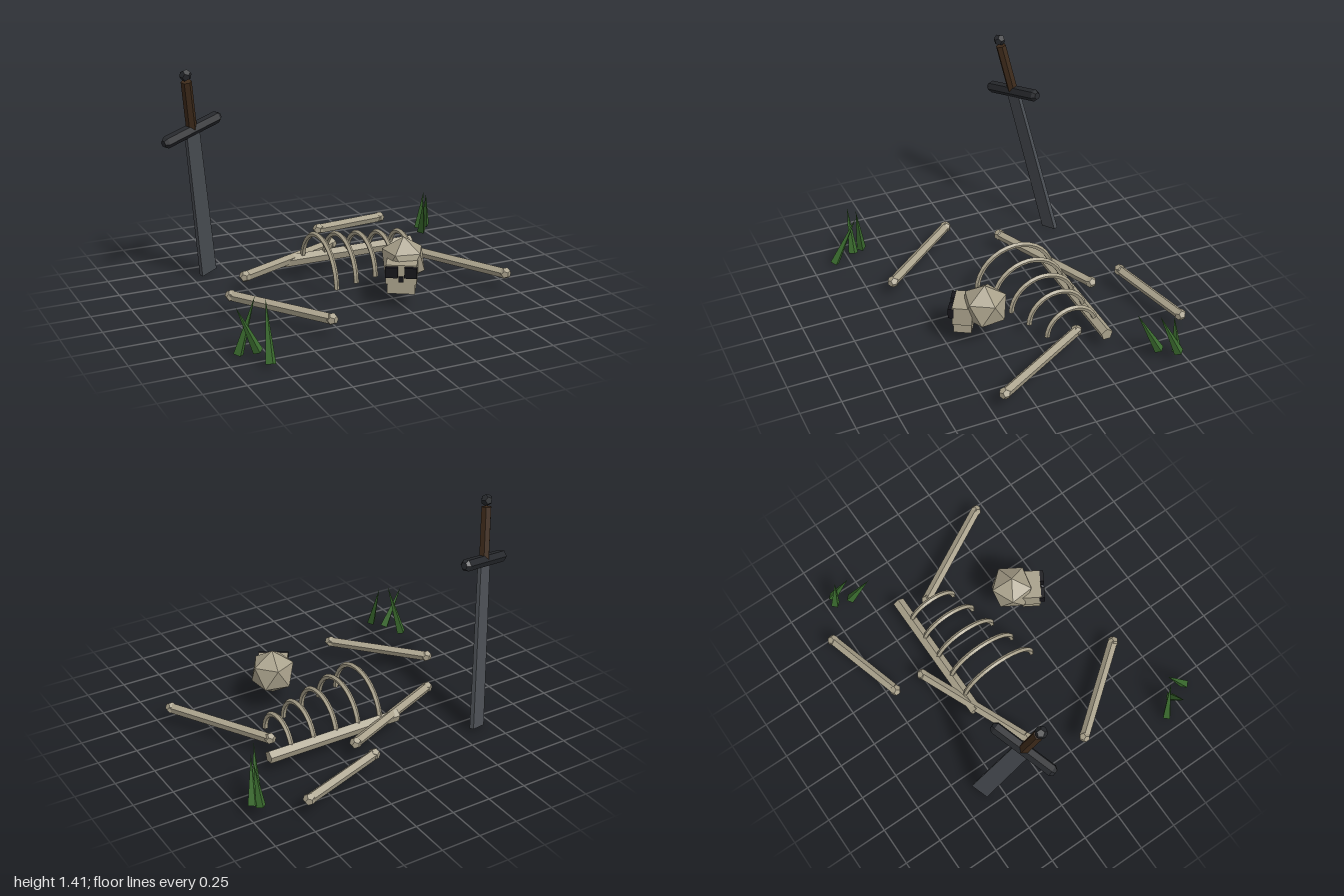
import * as THREE from 'three';

const mat = (color) => new THREE.MeshStandardMaterial({ color, flatShading: true });
const V = (x, y, z) => new THREE.Vector3(x, y, z);
const UP = V(0, 1, 0);

export function createModel() {
  const model = new THREE.Group();
  const bone = mat(0xa8a08a);
  const dark = mat(0x16151a);
  const steel = mat(0x4a4e54);
  const iron = mat(0x26282c);
  const leather = mat(0x3d2a1a);
  const green = mat(0x3a6b2e);

  const add = (parent, name, geometry, material, x = 0, y = 0, z = 0) => {
    const mesh = new THREE.Mesh(geometry, material);
    mesh.name = name;
    mesh.position.set(x, y, z);
    parent.add(mesh);
    return mesh;
  };
  const group = (name, parent = model) => {
    const g = new THREE.Group();
    g.name = name;
    parent.add(g);
    return g;
  };
  // Tapered rod running from a to b
  const rod = (parent, name, a, b, rStart, rEnd, sides, material) => {
    const d = b.clone().sub(a);
    const mesh = add(parent, name, new THREE.CylinderGeometry(rEnd, rStart, d.length(), sides), material);
    mesh.position.copy(a).addScaledVector(d, 0.5);
    mesh.quaternion.setFromUnitVectors(UP, d.normalize());
    return mesh;
  };

  // Loose limb bones with knobbed ends
  [
    [V(0.18, 0.185, -0.71), V(0.70, 0.147, -0.853)],
    [V(-0.54, 0.15, -0.2), V(0.18, 0.15, -0.508)],
    [V(0.588, 0.15, -0.203), V(0.934, 0.147, 0.42)],
    [V(-0.745, 0.17, 0.10), V(-0.333, 0.15, 0.622)],
  ].forEach(([a, b]) => {
    const limb = group('limbBone');
    rod(limb, 'shaft', a, b, 0.032, 0.032, 5, bone);
    for (const p of [a, b]) add(limb, 'knob', new THREE.DodecahedronGeometry(0.037), bone, p.x, p.y, p.z);
  });

  // Spine with five half-ring ribs that shrink along it
  const ribcage = group('ribcage');
  const spineGeo = new THREE.CylinderGeometry(0.039, 0.039, 0.895, 5);
  spineGeo.rotateY(-Math.PI / 2).rotateZ(Math.PI / 2);
  // a ridge of the five-sided spine points up
  spineGeo.computeBoundingBox();
  if (spineGeo.boundingBox.max.y < 0.0385) spineGeo.rotateX(Math.PI);
  add(ribcage, 'spine', spineGeo, bone, 0.237, 0.139, -0.36);
  for (let i = 0; i < 5; i++) {
    const r = 0.257 - 0.024 * i;
    const rib = add(ribcage, 'rib', new THREE.TorusGeometry(r, 0.017, 5, 16, Math.PI), bone,
      -0.087 + 0.154 * i, 0.116, -0.36 + r);
    rib.rotation.y = Math.PI / 2;
  }

  // Skull, turned toward its right
  const skull = group('skull');
  skull.position.set(0.303, 0.288, 0.27);
  skull.rotation.y = -0.54;
  const craniumGeo = new THREE.IcosahedronGeometry(0.146, 0).rotateZ(0.5536);
  add(skull, 'cranium', craniumGeo, bone);
  add(skull, 'face', new THREE.BoxGeometry(0.185, 0.12, 0.12), bone, 0, -0.03, 0.125);
  add(skull, 'jaw', new THREE.BoxGeometry(0.165, 0.065, 0.11), bone, 0, -0.12, 0.125);
  for (const s of [-1, 1]) {
    add(skull, 'eyeSocket', new THREE.BoxGeometry(0.075, 0.065, 0.035), dark, s * 0.057, -0.01, 0.192);
  }
  add(skull, 'noseHole', new THREE.BoxGeometry(0.03, 0.035, 0.03), dark, 0, -0.056, 0.18);

  // Sword leaning in the ground; local y runs from the blade tip to the pommel
  const sword = group('sword');
  const axis = V(-0.203, 1.365, 0.28).normalize();
  const across = V(0.40, 0.075, -0.15).normalize();
  across.addScaledVector(axis, -across.dot(axis)).normalize();
  const normal = across.clone().cross(axis);
  sword.quaternion.setFromRotationMatrix(new THREE.Matrix4().makeBasis(across, axis, normal));
  sword.position.set(-0.632, 0.05, -0.613);
  const bladeGeo = new THREE.CylinderGeometry(0.071, 0.083, 1.04, 4).rotateY(Math.PI / 4);
  bladeGeo.scale(1, 1, 0.24);
  add(sword, 'blade', bladeGeo, steel, 0, 0.52, 0);
  const guardProfile = [[0, -0.222], [0.022, -0.222], [0.038, -0.2], [0.038, 0.2], [0.022, 0.222], [0, 0.222]];
  const guardGeo = new THREE.LatheGeometry(guardProfile.map(([x, y]) => new THREE.Vector2(x, y)), 6);
  add(sword, 'crossGuard', guardGeo.rotateZ(Math.PI / 2), iron, 0, 1.04, 0);
  add(sword, 'grip', new THREE.CylinderGeometry(0.033, 0.033, 0.33, 6), leather, 0, 1.2, 0);
  add(sword, 'pommel', new THREE.DodecahedronGeometry(0.037), iron, 0, 1.405, 0);

  // Two tufts of grass
  [
    [
      [V(-0.805, 0.06, 0.855), V(-0.77, 0.385, 0.705)],
      [V(-0.825, 0.085, 0.72), V(-0.945, 0.36, 0.705)],
      [V(-0.91, 0.05, 0.637), V(-0.825, 0.4, 0.685)],
    ],
    [
      [V(0.895, 0.1, -0.6), V(0.838, 0.355, -0.472)],
      [V(0.97, 0.105, -0.69), V(0.915, 0.365, -0.58)],
      [V(0.925, 0.09, -0.7), V(0.94, 0.355, -0.66)],
    ],
  ].forEach((blades) => {
    const tuft = group('grassTuft');
    for (const [base, tip] of blades) rod(tuft, 'grassBlade', base, tip, 0.031, 0, 4, green);
  });

  return model;
}
